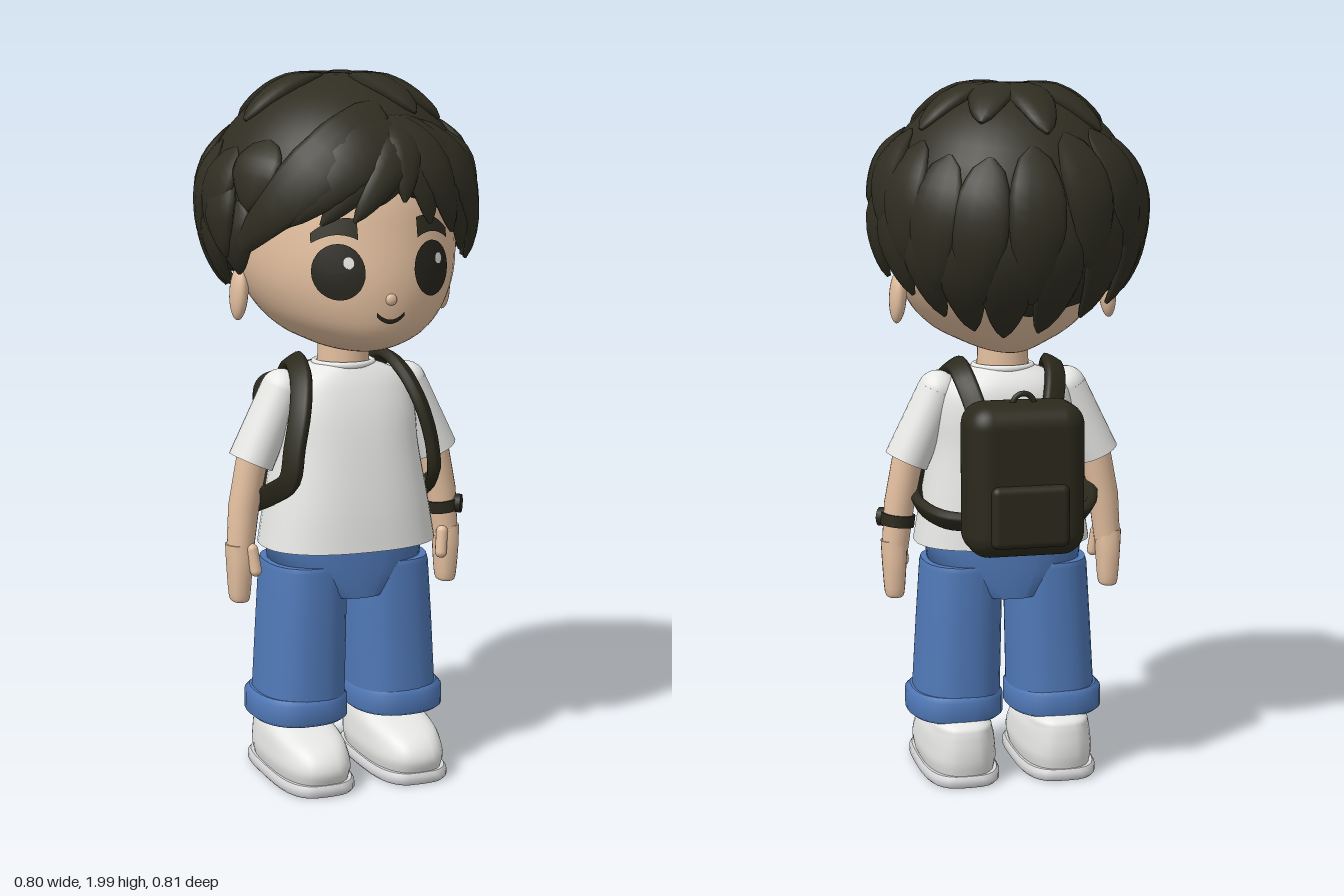
import * as THREE from 'three';
import { RoundedBoxGeometry } from 'three/addons/geometries/RoundedBoxGeometry.js';

const mat = (name, color) => new THREE.MeshStandardMaterial({ name, color });
const V = (x, y, z) => new THREE.Vector3(x, y, z);

// Skin a list of equal-length loops; ends are closed with crisp caps.
function loft(loops) {
  const pos = [], idx = [], m = loops[0].length;
  const put = (p) => pos.push(p.x, p.y, p.z);
  loops.forEach((l) => l.forEach(put));
  for (let i = 0; i < loops.length - 1; i++) for (let j = 0; j < m; j++) {
    const a = i * m + j, b = i * m + (j + 1) % m;
    idx.push(a, b, a + m, b, b + m, a + m);
  }
  [loops[0], loops[loops.length - 1]].forEach((l, end) => {
    const c = l.reduce((s, p) => s.add(p), V(0, 0, 0)).divideScalar(m), k = pos.length / 3;
    put(c);
    l.forEach(put);
    for (let j = 0; j < m; j++) {
      const a = k + 1 + j, b = k + 1 + (j + 1) % m;
      if (end) idx.push(k, a, b); else idx.push(k, b, a);
    }
  });
  const g = new THREE.BufferGeometry();
  g.setAttribute('position', new THREE.Float32BufferAttribute(pos, 3));
  g.setIndex(idx);
  g.computeVertexNormals();
  return g;
}

// Rows are [y, halfWidth, zFront, zBack, centreX]; n is the roundness exponent.
const spow = (v, p) => Math.sign(v) * Math.abs(v) ** p;
const body = (rows, n = 2, m = 32) => loft(rows.map(([y, w, f, b, cx = 0]) =>
  Array.from({ length: m }, (_, j) => {
    const t = j / m * Math.PI * 2;
    return V(cx + w * spow(Math.sin(t), 2 / n), y, (f + b) / 2 + (f - b) / 2 * spow(Math.cos(t), 2 / n));
  })));

// Smoothly subdivide rows.
function smooth(rows, k = 4) {
  const out = [], at = (i) => rows[Math.min(rows.length - 1, Math.max(0, i))];
  for (let i = 0; i < rows.length - 1; i++) for (let s = 0; s < k; s++) {
    const t = s / k;
    out.push(at(i).map((p1, c) => {
      const p0 = at(i - 1)[c], p2 = at(i + 1)[c], p3 = at(i + 2)[c];
      return p1 + 0.5 * t * (p2 - p0 + t * (2 * p0 - 5 * p1 + 4 * p2 - p3 + t * (3 * (p1 - p2) + p3 - p0)));
    }));
  }
  return [...out, at(rows.length)];
}

const headRows = smooth([
  [1.235, .03, .14, -.04], [1.243, .075, .24, -.09], [1.265, .13, .32, -.13], [1.30, .195, .365, -.17],
  [1.36, .255, .385, -.22], [1.45, .30, .388, -.28], [1.56, .315, .37, -.31], [1.68, .305, .34, -.31],
  [1.80, .25, .27, -.25], [1.90, .10, .1, -.1]]);

// Front surface of the face at (x, y).
function faceZ(x, y) {
  const i = Math.max(1, headRows.findIndex((r) => r[0] > y)), a = headRows[i - 1], b = headRows[i];
  const [, w, f, k] = a.map((v, c) => v + (b[c] - v) * (y - a[0]) / (b[0] - a[0]));
  return (f + k) / 2 + (f - k) / 2 * Math.sqrt(Math.max(0, 1 - (x / w) ** 2));
}
function onFace(g, lift, rule) {
  const p = g.attributes.position;
  for (let i = 0; i < p.count; i++) {
    const [x, y] = rule(p.getX(i), p.getY(i));
    p.setXYZ(i, x, y, faceZ(x, y) + lift);
  }
  g.computeVertexNormals();
  return g;
}
const spot = (x, y, rx, ry, lift) => onFace(new THREE.RingGeometry(0.001, 1, 28, 5), lift, (u, v) => [x + u * rx, y + v * ry]);

// Hair volume: a = azimuth from the front, e = elevation.
const HC = V(0, 1.62, 0);
function hairP(a, e, k = 1) {
  const r = k * Math.cos(e) * (e > 0 ? 1 + .015 * Math.sin(2 * e) : 1);
  return V(.37 * r * Math.sin(a), 1.62 + .37 * Math.sin(e), .375 * r * Math.cos(a));
}
const LINE = [[0, .2], [.5, .07], [1, -.1], [1.5, -.3], [2.2, -.54], [3.15, -.76]];
function hairline(a) {
  const t = Math.abs(Math.atan2(Math.sin(a), Math.cos(a)));
  const i = Math.max(1, LINE.findIndex((r) => r[0] >= t)), [p, q] = [LINE[i - 1], LINE[i]];
  return p[1] + (q[1] - p[1]) * (t - p[0]) / (q[0] - p[0]);
}
function hairShell() {
  const ring = (u, k) => Array.from({ length: 40 }, (_, j) => {
    const a = j / 40 * Math.PI * 2, h = hairline(a);
    return hairP(a, h + (1.54 - h) * u, k);
  });
  const loops = [ring(0, .72)];
  for (let i = 0; i <= 14; i++) loops.push(ring(i / 14, 1));
  return loft(loops);
}
// Leaf-shaped lock lying on the hair volume; a lower blunt keeps the tip fuller.
function lock(a0, e0, a1, e1, w, lift = .006, blunt = .75) {
  const at = (u) => hairP(a0 + (a1 - a0) * u, e0 + (e1 - e0) * u), loops = [], n = 12;
  for (let i = 0; i <= n; i++) {
    const u = i / n, p = at(u), N = p.clone().sub(HC).normalize();
    const T = at(u + .01).sub(at(u - .01)).normalize(), L = N.clone().cross(T).normalize();
    const s = Math.max(.08, Math.min(1, Math.sqrt(u * 2.6) + .1) * Math.min(1, ((1 - u) * 2.1) ** blunt));
    loops.push(Array.from({ length: 10 }, (_, j) => {
      const t = j / 10 * Math.PI * 2;
      return p.clone().addScaledVector(L, w * s * Math.cos(t))
        .addScaledVector(N, lift * Math.min(1, u * 2) + .021 * Math.min(1, .25 + u * 2.5) * Math.sqrt(s) * Math.sin(t));
    }));
  }
  return loft(loops);
}

// Flat strap following a path around the torso.
function strap(points) {
  const c = new THREE.CatmullRomCurve3(points), loops = [], mid = V(0, .95, .05);
  for (let i = 0; i <= 40; i++) {
    const p = c.getPoint(i / 40), T = c.getTangent(i / 40);
    const L = p.clone().sub(mid).cross(T).normalize(), N = T.clone().cross(L);
    loops.push(Array.from({ length: 12 }, (_, j) => {
      const t = j / 12 * Math.PI * 2;
      return p.clone().addScaledVector(L, .031 * spow(Math.cos(t), .5)).addScaledVector(N, .016 * spow(Math.sin(t), .5));
    }));
  }
  return loft(loops);
}

export function createModel() {
  const root = new THREE.Group();
  const skin = mat('skin', 0xe3bf9f), hair = mat('hair', 0x302e22), dark = mat('eye dark', 0x27251d),
    white = mat('white', 0xf0f0ee), denim = mat('denim', 0x5079b8), pack = mat('pack', 0x2b291c), sole = mat('sole grey', 0xd8d8da);
  const add = (name, g, m, p = [0, 0, 0], parent = root) => {
    const o = new THREE.Mesh(g, m);
    o.name = name;
    o.position.set(...p);
    parent.add(o);
    return o;
  };

  // Head and face
  add('head', body(headRows, 2, 48), skin);
  add('neck', new THREE.CylinderGeometry(.072, .075, .12, 24), skin, [0, 1.21, .05]);
  add('nose', new THREE.SphereGeometry(.016, 16, 12), skin, [0, 1.405, faceZ(0, 1.405)]).scale.z = .6;
  add('mouth', onFace(new THREE.PlaneGeometry(2, 2, 12, 1), .004,
    (u, v) => [u * .04, 1.345 + .02 * u * u + v * .006]), dark);
  for (const s of [1, -1]) {
    add('eye', spot(s * .135, 1.48, .064, .075, .005), dark);
    add('eyeHighlight', spot(s * .135 + .022, 1.505, .014, .016, .009), white);
    add('eyebrow', onFace(new THREE.PlaneGeometry(2, 2, 10, 2), .008, (u, v) => {
      const o = u * s;
      return [s * .142 + u * .056, 1.598 - .018 * o * o - .012 * o + v * (.02 - .007 * o)];
    }), hair);
    const ear = add('ear', new THREE.SphereGeometry(1, 20, 16), skin, [s * .305, 1.395, .035]);
    ear.scale.set(.024, .077, .04);
    ear.rotation.z = s * .06;
  }

  // Hair: cap, crown locks, side and back rows, swept fringe
  const hairGroup = new THREE.Group();
  hairGroup.name = 'hair';
  root.add(hairGroup);
  const addLock = (...k) => add('hairLock', lock(...k), hair, [0, 0, 0], hairGroup);
  add('hairCap', hairShell(), hair, [0, 0, 0], hairGroup);
  [[3.3, .7], [2.65, .8], [1.95, .72], [1.0, .72], [.55, .8], [-1.45, .72], [-2.3, .7]]
    .forEach(([a, e]) => addLock(a, 1.45, a, e, .065, .004, .5));
  for (let i = 0; i < 13; i++) {
    const a = 1.0 + i * (Math.PI * 2 - 2) / 12, j = Math.sin(i * 7.3);
    addLock(a, .62 + .12 * j, a + .14 * j, hairline(a) + .2 + .16 * j, .078, .012, .5);
    const b = a + .18;
    if (i < 12) addLock(b, .2 + .1 * j, b + .1 * j, hairline(b) - .2 + .08 * j, .072, .006, .6);
  }
  addLock(-1.35, .3, -1.3, -.3, .065, .022, .6);
  [[.1, .95, -1.2, -.29, .085], [.1, .85, -.98, -.16, .07], [.15, .8, -.74, -.05, .07], [.2, .78, -.5, -.04, .06],
    [.25, .7, -.27, -.02, .05], [.3, .68, -.1, .09, .05], [.2, .75, .1, .11, .05], [.2, .8, .34, -.05, .06],
    [.25, .8, .56, -.12, .065], [.35, .8, .82, -.28, .075], [.5, .75, 1.1, -.37, .08]]
    .forEach((k, i) => addLock(...k, i % 2 ? .006 : .015, .6));

  // Shirt
  add('shirt', body(smooth([[.68, .255, .255, -.11], [.8, .235, .243, -.105], [.95, .21, .218, -.095], [1.05, .205, .195, -.09],
    [1.12, .19, .17, -.08], [1.16, .155, .15, -.06], [1.19, .085, .13, -.03]]), 2.4, 40), white);
  const collar = add('collar', new THREE.TorusGeometry(.082, .01, 8, 32), white, [0, 1.187, .05]);
  collar.rotation.x = Math.PI / 2;

  // Jeans seat
  add('jeansSeat', body([[.535, .1, .2, -.1], [.615, .218, .207, -.107], [.69, .228, .205, -.105]], 2.5), denim);

  for (const s of [1, -1]) {
    const sided = (rows, cx) => rows.map((r) => [...r.slice(0, 4), s * (r[4] ?? cx)]);
    // Sleeve, arm and hand
    const sleeve = add('sleeve', new THREE.CylinderGeometry(.058, .064, .22, 28), white, [s * .235, 1.02, .055]);
    sleeve.rotation.z = s * .43;
    sleeve.scale.z = 1.15;
    add('shoulder', new THREE.SphereGeometry(.058, 20, 14), white, [s * .189, 1.12, .055]).scale.z = 1.15;
    add('arm', body(sided([[.66, .038, .097, .018, .316], [.8, .044, .1, .011, .302], [.95, .046, .1, .01, .272]]), 2, 20), skin);
    add('hand', body(smooth(sided([[.525, .016, .08, .035], [.535, .027, .093, .02], [.62, .034, .102, .013], [.69, .038, .097, .018]], .318)), 2.4, 20), skin);
    const thumb = add('thumb', new THREE.CapsuleGeometry(.017, .06, 6, 12), skin, [s * .288, .648, .096]);
    thumb.rotation.set(-.15, 0, -s * .12);
    // Trouser leg and turned-up cuff
    add('trouserLeg', body(sided([[.2, .125, .203, -.1, .142], [.45, .12, .203, -.1, .132], [.615, .116, .2, -.1, .125], [.63, .112, .195, -.095, .125]]), 2.4), denim);
    add('cuff', body(sided([[.175, .126, .2, -.1], [.185, .138, .215, -.114], [.238, .138, .215, -.114], [.252, .124, .2, -.1]], .147), 2.4), denim);
    // Shoe
    add('shoe', body(smooth(sided([[.03, .1, .295, -.145], [.065, .107, .306, -.152], [.1, .104, .293, -.153], [.13, .099, .255, -.15],
      [.152, .091, .18, -.146], [.17, .082, .09, -.138], [.185, .06, .02, -.11]], .143)), 2.7), white);
    add('shoeSole', body(sided([[0, .106, .3, -.15], [.008, .113, .307, -.158], [.024, .113, .307, -.158], [.034, .106, .3, -.15]], .143), 3.2), sole);
    // Backpack strap
    add('strap', strap([[.1, 1.05, -.12], [.13, 1.16, -.05], [.14, 1.195, .03], [.155, 1.16, .12], [.18, 1.08, .18], [.205, .98, .2],
      [.218, .89, .195], [.24, .84, .12], [.25, .8, .02], [.2, .775, -.09], [.12, .77, -.13]].map(([x, y, z]) => V(s * x, y, z))), pack);
  }

  // Wristwatch
  const band = add('watchBand', new THREE.CylinderGeometry(.049, .049, .034, 24), pack, [.307, .75, .056]);
  band.rotation.z = .12;
  const dial = add('watchFace', new THREE.CylinderGeometry(.027, .027, .022, 20), pack, [.345, .754, .082]);
  dial.rotation.set(0, -.6, -Math.PI / 2);

  // Backpack
  add('backpack', new RoundedBoxGeometry(.335, .43, .19, 6, .065), pack, [0, .907, -.195]);
  add('backpackPocket', new RoundedBoxGeometry(.22, .175, .06, 3, .02), pack, [0, .815, -.28]);
  add('backpackHandle', new THREE.TorusGeometry(.03, .008, 8, 20, Math.PI), pack, [0, 1.115, -.205]);
  return root;
}
